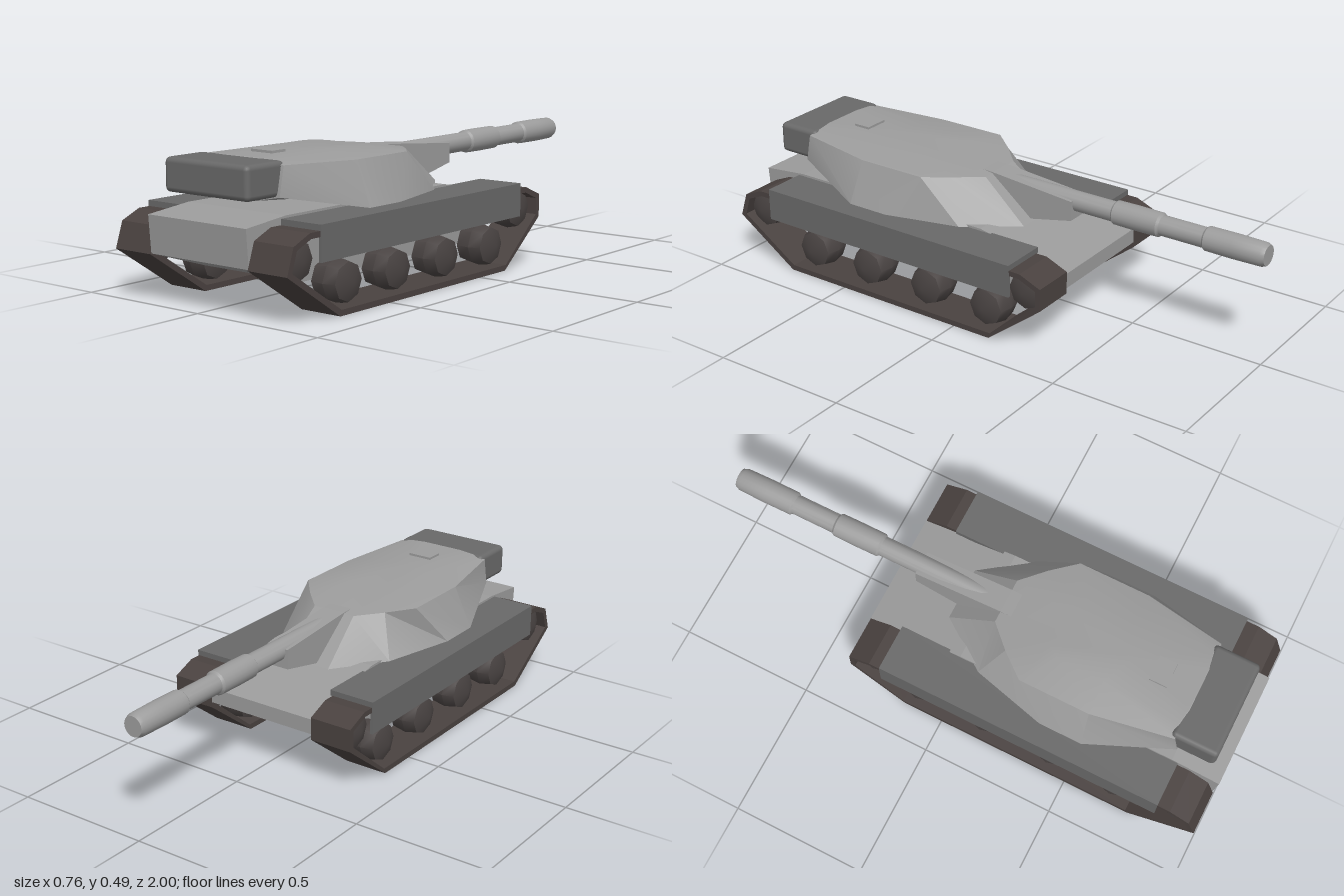
import * as THREE from 'three';
import { toCreasedNormals } from 'three/addons/utils/BufferGeometryUtils.js';
import { RoundedBoxGeometry } from 'three/addons/geometries/RoundedBoxGeometry.js';

const makeMaterial = (name, color) => {
  const m = new THREE.MeshStandardMaterial({ color });
  m.name = name;
  return m;
};

// Side outline of [z, y] points, extruded across x from x0 to x1
function sideExtrude(points, x0, x1, hole) {
  const toV = ([z, y]) => new THREE.Vector2(z, y);
  const shape = new THREE.Shape(points.map(toV));
  if (hole) shape.holes.push(new THREE.Path(hole.map(toV)));
  const g = new THREE.ExtrudeGeometry(shape, { depth: x1 - x0, bevelEnabled: false });
  return g.rotateY(-Math.PI / 2).translate(x1, 0, 0);
}

// Closed skin over stacked rings, each given as its +x half from front to rear
function loft(halves, bottomCentre, topCentre) {
  const rings = halves.map((h) => [...h, ...[...h].reverse().map(([x, y, z]) => [-x, y, z])]);
  const n = rings[0].length;
  const top = rings[rings.length - 1];
  const pos = [];
  for (let i = 0; i < n; i++) {
    const j = (i + 1) % n;
    for (let r = 0; r < rings.length - 1; r++) {
      const a = rings[r][i], b = rings[r][j], c = rings[r + 1][j], d = rings[r + 1][i];
      pos.push(...a, ...d, ...c, ...a, ...c, ...b);
    }
    pos.push(...topCentre, ...top[j], ...top[i]);
    pos.push(...bottomCentre, ...rings[0][i], ...rings[0][j]);
  }
  const g = new THREE.BufferGeometry();
  g.setAttribute('position', new THREE.Float32BufferAttribute(pos, 3));
  return toCreasedNormals(g, 0.4);
}

export function createModel() {
  const model = new THREE.Group();
  const armour = makeMaterial('armour grey', 0x9c9c9c);
  const panel = makeMaterial('panel grey', 0x696969);
  const rubber = makeMaterial('track brown', 0x4a4240);
  const steel = makeMaterial('wheel grey', 0x4a4443);

  const add = (name, geometry, material, parent = model) => {
    const mesh = new THREE.Mesh(geometry, material);
    mesh.name = name;
    parent.add(mesh);
    return mesh;
  };
  const box = (x0, x1, y0, y1, z0, z1) =>
    new THREE.BoxGeometry(x1 - x0, y1 - y0, z1 - z0)
      .translate((x0 + x1) / 2, (y0 + y1) / 2, (z0 + z1) / 2);

  // Hull with sloped nose and tail
  add('hull', sideExtrude([
    [0.75, 0.088], [0.99, 0.165], [1, 0.294], [0.82, 0.312], [0, 0.312],
    [-0.365, 0.245], [-0.365, 0.19], [-0.17, 0.088],
  ], -0.215, 0.215), armour);

  // Running gear, repeated on both sides
  const trackOuter = [
    [0.75, 0], [0.995, 0.163], [0.965, 0.252], [0.89, 0.284], [-0.28, 0.284],
    [-0.363, 0.25], [-0.363, 0.168], [-0.15, 0],
  ];
  const trackInner = [
    [0.744, 0.02], [0.972, 0.171], [0.95, 0.238], [0.885, 0.265], [-0.276, 0.265],
    [-0.344, 0.237], [-0.344, 0.178], [-0.156, 0.02],
  ];
  const wheelProfile = [[0, -0.075], [0.066, -0.055], [0.076, 0], [0.066, 0.045], [0, 0.07]]
    .map(([r, y]) => new THREE.Vector2(r, y));
  const wheelGeometry = toCreasedNormals(
    new THREE.LatheGeometry(wheelProfile, 8).rotateZ(-Math.PI / 2), 0.85);
  const wheelSpots = [
    [0.905, 0.195], [0.668, 0.092], [0.417, 0.092], [0.15, 0.092], [-0.112, 0.092], [-0.28, 0.205],
  ];
  for (const s of [1, -1]) {
    const name = s > 0 ? 'left' : 'right';
    const span = (a, b) => (s > 0 ? [a, b] : [-b, -a]);
    const side = new THREE.Group();
    side.name = name + 'RunningGear';
    model.add(side);
    add('track', sideExtrude(trackOuter, ...span(0.215, 0.377), trackInner), rubber, side);
    wheelSpots.forEach(([z, y], i) => {
      const wheel = add(i === 0 || i === 5 ? 'endWheel' : 'roadWheel', wheelGeometry, steel, side);
      wheel.position.set(s * 0.296, y, z);
      if (s < 0) wheel.rotation.y = Math.PI;
    });
    // Fender and hanging skirt
    add('fender', box(...span(0.205, 0.381), 0.283, 0.304, -0.237, 0.843), panel, side);
    add('skirt', box(...span(0.371, 0.381), 0.185, 0.29, -0.237, 0.843), panel, side);
  }

  // Turret: lower edge, shoulder and roof rings
  add('turret', loft([
    [[0.1, 0.305, -0.105], [0.235, 0.305, 0.08], [0.305, 0.305, 0.355], [0.305, 0.305, 0.515],
      [0.19, 0.365, 0.82], [0.09, 0.345, 0.82]],
    [[0.085, 0.445, 0.07], [0.165, 0.451, 0.15], [0.24, 0.456, 0.24], [0.24, 0.456, 0.505],
      [0.19, 0.465, 0.8], [0.09, 0.47, 0.82]],
    [[0.055, 0.472, 0.27], [0.08, 0.474, 0.28], [0.115, 0.477, 0.32], [0.12, 0.479, 0.5],
      [0.14, 0.479, 0.79], [0.08, 0.48, 0.8]],
  ], [0, 0.3, 0.45], [0, 0.481, 0.55]), armour);

  // Stowage box behind the turret, and roof hatch
  add('stowageBox', new RoundedBoxGeometry(0.367, 0.115, 0.175, 2, 0.018)
    .translate(-0.003, 0.421, 0.868), panel);
  add('hatch', box(-0.045, 0.048, 0.475, 0.489, 0.635, 0.7), armour);

  // Wedge-shaped gun mount
  add('gunMount', sideExtrude([
    [0.15, 0.452], [0.07, 0.449], [-0.265, 0.42], [-0.265, 0.348], [-0.08, 0.308], [0.15, 0.308],
  ], -0.045, 0.045), armour);

  // Barrel with two thicker sleeves
  const barrelProfile = [
    [0, 0], [0.036, 0], [0.036, 0.417], [0.043, 0.425], [0.044, 0.5], [0.043, 0.597],
    [0.036, 0.605], [0.036, 0.77], [0.043, 0.778], [0.044, 0.88], [0.042, 0.985], [0.036, 1], [0, 1],
  ].map(([r, y]) => new THREE.Vector2(r, y));
  add('barrel', toCreasedNormals(
    new THREE.LatheGeometry(barrelProfile, 20).rotateX(-Math.PI / 2), 0.6), armour)
    .position.y = 0.407;

  return model;
}
